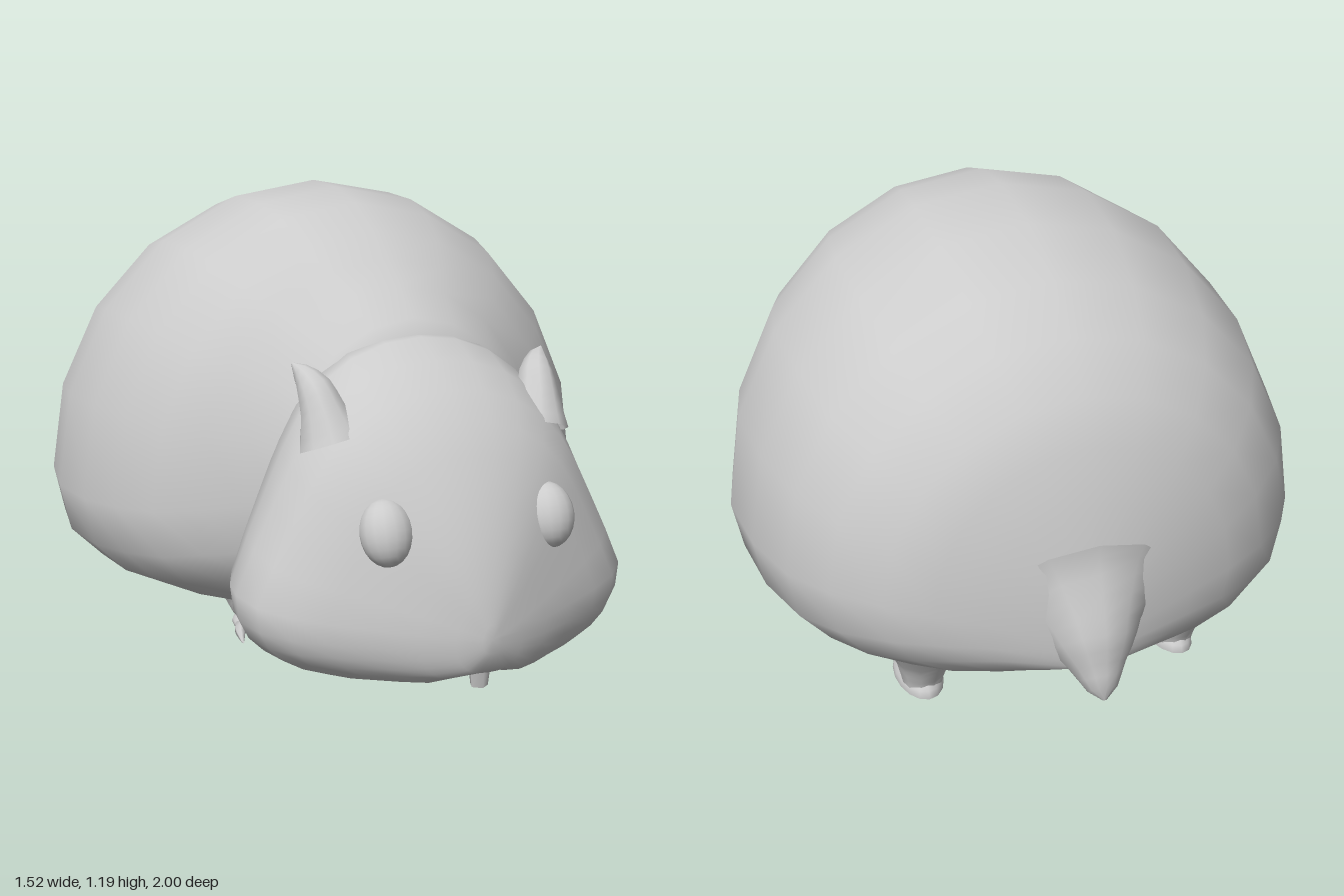
import * as THREE from 'three';
import { mergeVertices } from 'three/addons/utils/BufferGeometryUtils.js';

const grey = new THREE.MeshStandardMaterial({ color: 0xcccccc, side: THREE.DoubleSide });

function add(parent, name, geometry) {
  const mesh = new THREE.Mesh(geometry, grey);
  mesh.name = name;
  parent.add(mesh);
  return mesh;
}

// Skin over closed rings ordered from back (-z) to front (+z), with both ends capped.
function loft(rings) {
  const n = rings[0].length, pos = [], index = [];
  rings.forEach(ring => ring.forEach(p => pos.push(...p)));
  for (let i = 0; i < rings.length - 1; i++) {
    for (let j = 0; j < n; j++) {
      const a = i * n + j, b = i * n + (j + 1) % n;
      index.push(a, a + n, b, b, a + n, b + n);
    }
  }
  [0, rings.length - 1].forEach((i, end) => {
    const c = pos.length / 3;
    for (let k = 0; k < 3; k++) pos.push(rings[i].reduce((s, p) => s + p[k], 0) / n);
    for (let j = 0; j < n; j++) {
      const a = i * n + j, b = i * n + (j + 1) % n;
      if (end) index.push(c, b, a); else index.push(c, a, b);
    }
  });
  const g = new THREE.BufferGeometry();
  g.setAttribute('position', new THREE.Float32BufferAttribute(pos, 3));
  g.setIndex(index);
  g.computeVertexNormals();
  return g;
}

// Section: round above the widest height, squarer below it; shape() adjusts each point.
function section([z, top, bottom, wide, w], segs, shape = p => p) {
  return Array.from({ length: segs }, (_, j) => {
    const a = j / segs * Math.PI * 2, s = Math.sin(a), c = Math.cos(a);
    const e = c < 0 ? 0.77 : 1;
    const x = w * Math.sign(s) * Math.abs(s) ** e;
    const y = wide + (c > 0 ? (top - wide) * c : -(wide - bottom) * (-c) ** e);
    return shape([x, y, z], Math.max(0, c));
  });
}

// Tapering limb through [x, y, z, radius] stations.
function taper(stations, steps = 8, sides = 10) {
  const curve = new THREE.CatmullRomCurve3(stations.map(s => new THREE.Vector3(s[0], s[1], s[2])));
  const g = new THREE.TubeGeometry(curve, steps, 1, sides);
  const p = g.attributes.position, v = new THREE.Vector3();
  for (let i = 0; i < p.count; i++) {
    const u = Math.floor(i / (sides + 1)) / steps;
    const c = curve.getPointAt(u);
    const t = curve.getUtoTmapping(u) * (stations.length - 1);
    const k = Math.min(Math.floor(t), stations.length - 2);
    const r = THREE.MathUtils.lerp(stations[k][3], stations[k + 1][3], t - k);
    v.fromBufferAttribute(p, i).sub(c).multiplyScalar(r).add(c);
    p.setXYZ(i, v.x, v.y, v.z);
  }
  g.deleteAttribute('uv');
  g.deleteAttribute('normal');
  const merged = mergeVertices(g, 1e-5);
  merged.computeVertexNormals();
  return merged;
}

function ball(parent, name, centre, radii) {
  const mesh = add(parent, name, new THREE.SphereGeometry(1, 16, 12));
  mesh.position.set(...centre);
  mesh.scale.set(...radii);
  return mesh;
}

export function createModel() {
  const model = new THREE.Group();
  model.name = 'hamster';

  // Torso: z, top, bottom, widest height, half width
  const torso = [
    [-0.93, 0.44, 0.20, 0.30, 0.10],
    [-0.89, 0.62, 0.18, 0.34, 0.26],
    [-0.85, 0.75, 0.16, 0.36, 0.38],
    [-0.80, 0.86, 0.13, 0.38, 0.49],
    [-0.70, 0.97, 0.09, 0.38, 0.60],
    [-0.57, 1.065, 0.06, 0.37, 0.68],
    [-0.38, 1.15, 0.045, 0.36, 0.735],
    [-0.16, 1.19, 0.035, 0.36, 0.76],
    [0.02, 1.18, 0.04, 0.36, 0.73],
    [0.16, 1.145, 0.055, 0.37, 0.68],
    [0.28, 1.08, 0.075, 0.38, 0.61],
    [0.37, 1.015, 0.10, 0.40, 0.52],
    [0.45, 0.955, 0.12, 0.42, 0.42],
    [0.54, 0.885, 0.16, 0.44, 0.36],
    [0.62, 0.80, 0.24, 0.45, 0.28],
  ];
  add(model, 'torso', loft(torso.map(s => section(s, 20))));

  // Head: pear-shaped sections with full cheeks and a split muzzle
  const head = [
    [0.41, 0.62, 0.15, 0.30, 0.30],
    [0.45, 0.76, 0.115, 0.29, 0.41],
    [0.51, 0.86, 0.09, 0.28, 0.47],
    [0.59, 0.845, 0.06, 0.27, 0.50],
    [0.67, 0.80, 0.04, 0.27, 0.51],
    [0.75, 0.74, 0.045, 0.26, 0.485],
    [0.81, 0.675, 0.055, 0.25, 0.43],
    [0.86, 0.605, 0.065, 0.24, 0.35],
    [0.91, 0.51, 0.075, 0.23, 0.25],
    [0.95, 0.42, 0.09, 0.22, 0.165],
    [0.98, 0.32, 0.12, 0.21, 0.085],
    [0.995, 0.24, 0.17, 0.205, 0.025],
  ];
  add(model, 'head', loft(head.map(s => section(s, 32, ([x, y, z], up) => {
    const pinch = 1 - 0.12 * Math.sin(Math.PI * up);
    const split = up === 0 && z > 0.72 && z < 0.97 ? 0.045 * Math.exp(-((x / 0.06) ** 2)) : 0;
    return [x * pinch, y + split, z];
  }))));

  // Front tooth
  const tooth = add(model, 'tooth', new THREE.CylinderGeometry(0.03, 0.022, 0.07, 5));
  tooth.position.set(0, 0.105, 0.93);

  // Short pointed tail
  add(model, 'tail', taper([
    [0, 0.34, -0.80, 0.24], [0, 0.28, -0.89, 0.13],
    [0, 0.21, -0.95, 0.065], [0, 0.165, -0.985, 0.032], [0, 0.15, -0.998, 0.004],
  ], 10, 12));

  for (const s of [1, -1]) {
    const side = s > 0 ? 'left' : 'right';

    // Eye
    const eye = ball(model, side + 'Eye', [s * 0.21, 0.445, 0.865], [0.064, 0.08, 0.058]);
    eye.rotation.x = -0.35;

    // Ear, leaning out to a small tip
    add(model, side + 'Ear', taper([
      [s * 0.27, 0.62, 0.68, 0.085], [s * 0.285, 0.69, 0.66, 0.057],
      [s * 0.298, 0.745, 0.63, 0.044], [s * 0.318, 0.78, 0.60, 0.024], [s * 0.336, 0.80, 0.585, 0.003],
    ]));

    // Front leg, palm and toes
    const front = new THREE.Group();
    front.name = side + 'FrontLeg';
    model.add(front);
    add(front, 'leg', taper([
      [s * 0.33, 0.17, 0.19, 0.11], [s * 0.33, 0.10, 0.205, 0.065],
      [s * 0.33, 0.055, 0.225, 0.042], [s * 0.33, 0.035, 0.24, 0.01],
    ]));
    ball(front, 'palm', [s * 0.33, 0.04, 0.25], [0.055, 0.025, 0.075]);
    for (let i = 0; i < 4; i++) {
      const f = i - 1.5;
      const reach = 0.40 - 0.018 * f * f;
      add(front, 'toe', taper([
        [s * (0.33 + f * 0.025), 0.04, 0.27, 0.018],
        [s * (0.33 + f * 0.037), 0.042, reach - 0.05, 0.016],
        [s * (0.33 + f * 0.043), 0.028, reach, 0.004],
      ], 5, 6));
    }

    // Hind leg with a flat-soled foot
    const hind = new THREE.Group();
    hind.name = side + 'HindLeg';
    model.add(hind);
    add(hind, 'leg', taper([
      [s * 0.35, 0.16, -0.62, 0.11], [s * 0.35, 0.09, -0.615, 0.07],
      [s * 0.35, 0.045, -0.61, 0.058], [s * 0.35, 0.01, -0.61, 0.05],
    ]));
    const foot = new THREE.SphereGeometry(1, 16, 10);
    const p = foot.attributes.position;
    for (let i = 0; i < p.count; i++) {
      const z = p.getZ(i);
      p.setXYZ(i, p.getX(i) * 0.062, Math.max(0, p.getY(i)) * (0.045 - 0.02 * z), z * 0.12);
    }
    foot.computeVertexNormals();
    add(hind, 'foot', foot).position.set(s * 0.35, 0.003, -0.56);
  }
  return model;
}
